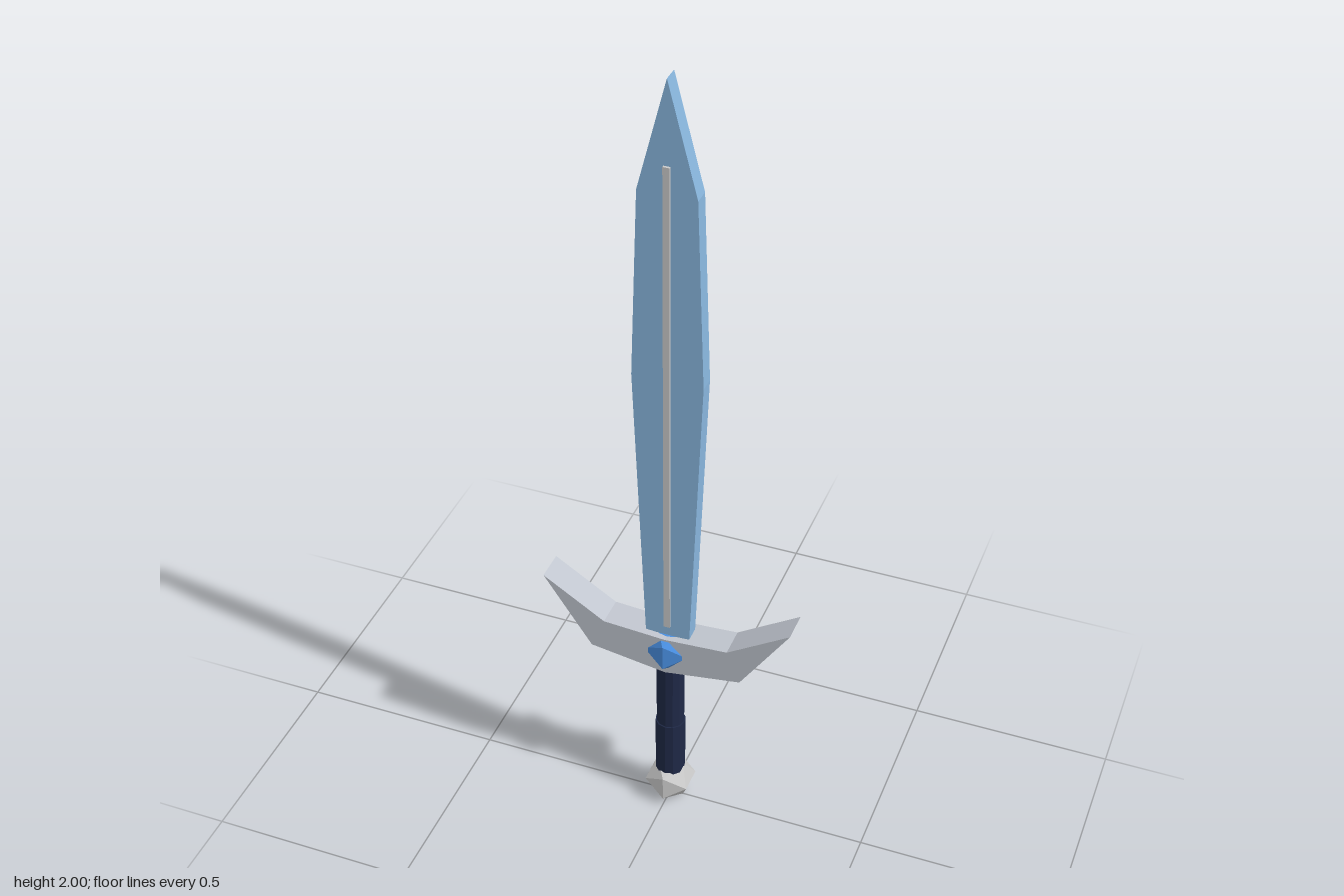
import * as THREE from 'three';

const material = (color) => new THREE.MeshStandardMaterial({ color, flatShading: true });

// Plate from the right half of a symmetric outline (bottom centre to top centre), centred on z = 0
function mirroredPlate(half, depth) {
  const left = half.filter(([x]) => x > 0).reverse().map(([x, y]) => [-x, y]);
  const shape = new THREE.Shape([...half, ...left].map(([x, y]) => new THREE.Vector2(x, y)));
  const geometry = new THREE.ExtrudeGeometry(shape, { depth, bevelEnabled: false });
  return geometry.translate(0, 0, -depth / 2);
}

export function createModel() {
  const sword = new THREE.Group();
  sword.name = 'sword';

  const steel = material(0xcccccc);
  const guardMetal = material(0xc0c5ce);
  const bladeBlue = material(0x8ab8e0);
  const gemBlue = material(0x4a90e2);
  const leather = material(0x1f2947);

  const add = (name, geometry, mat, y = 0) => {
    const mesh = new THREE.Mesh(geometry, mat);
    mesh.name = name;
    mesh.position.y = y;
    sword.add(mesh);
    return mesh;
  };

  // Leaf-shaped blade with a raised strip on both faces
  add('blade', mirroredPlate([
    [0, 0.52], [0.054, 0.52], [0.084, 1.27], [0.068, 1.735], [0, 2],
  ], 0.04), bladeBlue);
  add('bladeRidge', new THREE.BoxGeometry(0.016, 1.235, 0.052), steel, 1.185);

  // Crossguard with upswept points
  add('crossguard', mirroredPlate([
    [0, 0.434], [0.188, 0.463], [0.308, 0.644], [0.155, 0.547], [0, 0.537],
  ], 0.076), guardMetal);

  // One faceted gem showing through both faces of the guard
  add('gem', new THREE.IcosahedronGeometry(0.064, 0), gemBlue, 0.492);

  // Grip, slightly thicker in its lower half
  add('grip', new THREE.CylinderGeometry(0.034, 0.034, 0.37, 12), leather, 0.265);
  add('gripWrap', new THREE.CylinderGeometry(0.037, 0.037, 0.17, 12), leather, 0.165);

  // Faceted pommel
  add('pommel', new THREE.IcosahedronGeometry(0.0635, 0), steel, 0.054);

  return sword;
}
